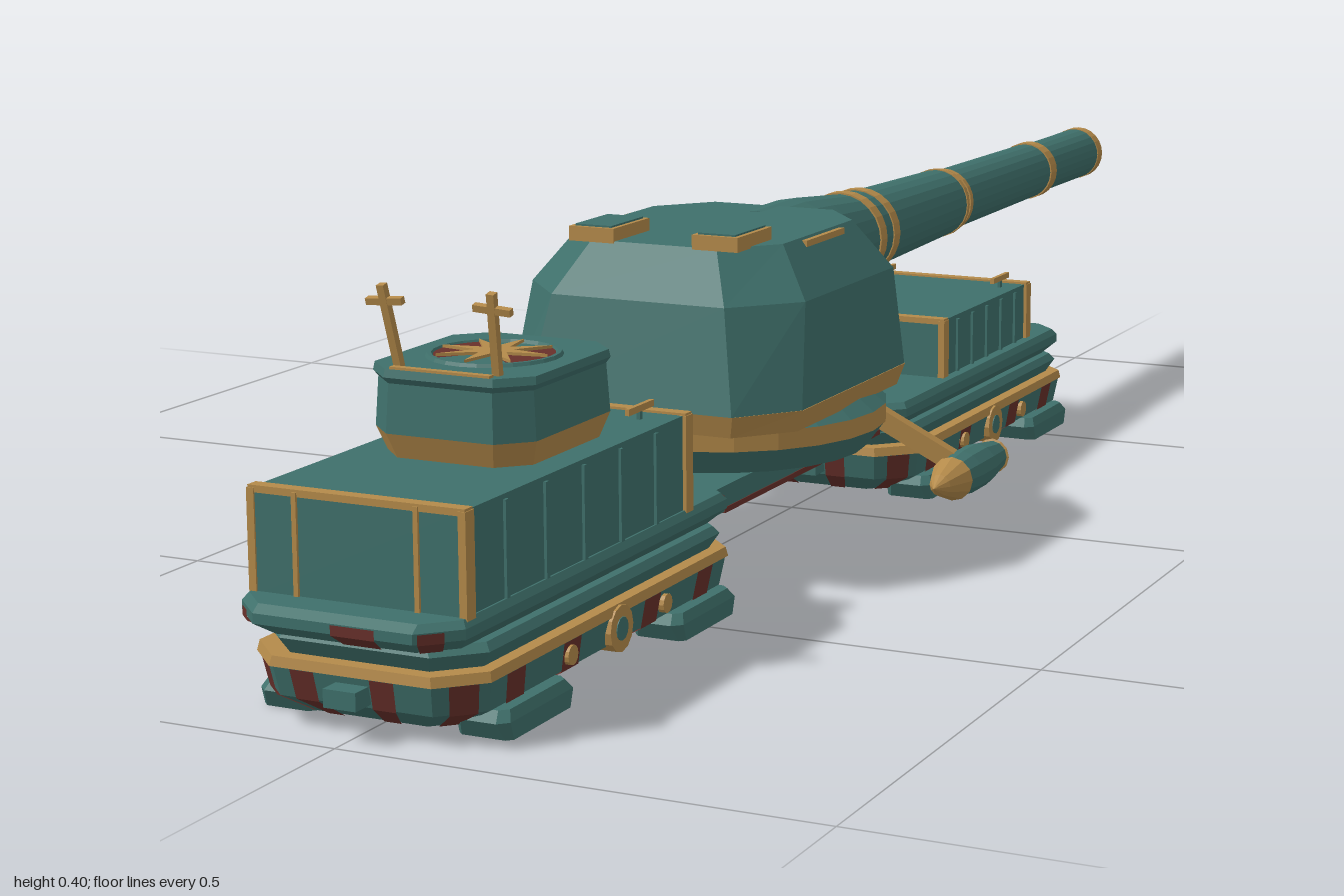
import * as THREE from 'three';

const mat = (name, color, extra = {}) => {
  const m = new THREE.MeshStandardMaterial({ color, flatShading: true, ...extra });
  m.name = name;
  return m;
};

export function createModel() {
  const root = new THREE.Group();
  root.name = 'railwayGun';
  const teal = mat('teal armour', 0x3f706b);
  const gold = mat('brass trim', 0xb48a4a);
  const red = mat('rust red', 0x68302a, { side: THREE.DoubleSide });

  const add = (name, geo, material, x = 0, y = 0, z = 0, parent = root) => {
    const m = new THREE.Mesh(geo, material);
    m.name = name;
    m.position.set(x, y, z);
    parent.add(m);
    return m;
  };
  // box given by its centre and size
  const box = (name, material, x, y, z, w, h, d, parent = root) =>
    add(name, new THREE.BoxGeometry(w, h, d), material, x, y, z, parent);

  // chamfered rectangle at height y: half width, back z, front z, chamfers in x and z
  const oct = (y, hx, zb, zf, cx, cz = cx) => [
    [hx, zf - cz], [hx, zb + cz], [hx - cx, zb], [cx - hx, zb],
    [-hx, zb + cz], [-hx, zf - cz], [cx - hx, zf], [hx - cx, zf],
  ].map(([x, z]) => [x, y, z]);

  // closed solid through rings stacked from bottom to top
  const loft = (rings) => {
    const n = rings[0].length, index = [];
    for (let r = 0; r < rings.length - 1; r++)
      for (let i = 0; i < n; i++) {
        const j = (i + 1) % n, a = r * n, b = a + n;
        index.push(a + i, a + j, b + j, a + i, b + j, b + i);
      }
    const top = (rings.length - 1) * n;
    for (let i = 1; i < n - 1; i++) index.push(top, top + i, top + i + 1, 0, i + 1, i);
    const g = new THREE.BufferGeometry();
    g.setAttribute('position', new THREE.Float32BufferAttribute(rings.flat(2), 3));
    g.setIndex(index);
    const flat = g.toNonIndexed();
    flat.computeVertexNormals();
    return flat;
  };
  // painted red patch between two rings, on one edge from fraction t0 to t1
  const mark = (name, low, high, edge, t0, t1, parent) => {
    const at = (ring, t) => {
      const a = ring[edge], b = ring[(edge + 1) % 8];
      return [(a[0] + (b[0] - a[0]) * t) * 1.012, a[1] - 0.0005, (a[2] + (b[2] - a[2]) * t) * 1.008];
    };
    const g = new THREE.BufferGeometry();
    g.setAttribute('position', new THREE.Float32BufferAttribute(
      [at(low, t0), at(low, t1), at(high, t1), at(high, t0)].flat(), 3));
    g.setIndex([0, 1, 2, 0, 2, 3]);
    g.computeVertexNormals();
    add(name, g, red, 0, 0, 0, parent);
  };
  // turned part whose axis runs towards the back (-z)
  const turned = (name, points, material, x, y, z, seg = 24) =>
    add(name, new THREE.LatheGeometry(points.map(p => new THREE.Vector2(...p)), seg)
      .rotateX(-Math.PI / 2), material, x, y, z);

  // long deck, with broader chamfered platforms over the two bogies
  box('deckBeam', teal, 0, 0.108, 0.19, 0.2, 0.028, 0.6);
  for (const s of [-1, 1]) box('deckEdgeMark', red, s * 0.098, 0.0955, 0.18, 0.006, 0.006, 0.42);
  for (const [name, zc, h] of [['frontPlatform', 0.695, 0.305], ['rearPlatform', -0.325, 0.295]]) {
    const g = new THREE.Group();
    g.name = name;
    g.position.z = zc;
    root.add(g);
    const low = oct(0.094, 0.105, 0.022 - h, h - 0.022, 0.03);
    const mid = oct(0.108, 0.12, -h, h, 0.035), high = oct(0.118, 0.12, -h, h, 0.035);
    add('platformBody', loft([low, mid, high, oct(0.125, 0.115, 0.01 - h, h - 0.01, 0.03)]), teal, 0, 0, 0, g);
    for (const [edge, t0, t1] of [[6, 0.5, 0.77], [2, 0.23, 0.5], [7, 0.1, 0.6], [5, 0.3, 0.7], [1, 0.3, 0.7], [3, 0.3, 0.7]]) {
      mark('platformMark', mid, high, edge, t0, t1, g);
      mark('platformLowerMark', low, mid, edge, t0, t1, g);
    }
  }

  // bogies with brass belt, red marks, hubs, couplings and track shoes
  for (const [label, zc] of [['front', 0.685], ['rear', -0.335]]) {
    const g = new THREE.Group();
    g.name = label + 'Bogie';
    g.position.z = zc;
    root.add(g);
    const low = oct(0.01, 0.085, -0.25, 0.25, 0.025), mid = oct(0.03, 0.12, -0.278, 0.278, 0.038);
    const high = oct(0.06, 0.125, -0.285, 0.285, 0.04);
    add('bogieHull', loft([low, mid, high]), teal, 0, 0, 0, g);
    add('bogieBelt', loft([oct(0.06, 0.127, -0.288, 0.288, 0.04), oct(0.07, 0.125, -0.286, 0.286, 0.04)]),
      gold, 0, 0, 0, g);
    add('bogieTop', loft([oct(0.07, 0.111, -0.27, 0.27, 0.036), oct(0.086, 0.121, -0.28, 0.28, 0.04),
      oct(0.094, 0.115, -0.275, 0.275, 0.04)]), teal, 0, 0, 0, g);
    const spots = [[1, 0.25, 0.75], [3, 0.25, 0.75], [5, 0.3, 0.9], [7, 0.3, 0.8]];
    for (const e of [0, 4]) for (const t of [0.06, 0.28, 0.62, 0.86]) spots.push([e, t, t + 0.07]);
    for (const e of [2, 6]) for (const t of [0.12, 0.62]) spots.push([e, t, t + 0.15]);
    for (const [edge, t0, t1] of spots) {
      mark('hullMark', mid, high, edge, t0, t1, g);
      mark('lowerHullMark', low, mid, edge, t0, t1, g);
    }
    for (const s of [-1, 1]) {
      for (const z of [-0.2, -0.07, 0.07, 0.2]) box('bellyMark', red, s * 0.05, 0.01, z, 0.012, 0.003, 0.035, g);
      for (const [z, r] of [[-0.1, 0.01], [0, 0.024], [0.1, 0.01]]) {
        const disc = (q, len) => new THREE.CylinderGeometry(q, q, len, 12).rotateZ(Math.PI / 2);
        add('hub', disc(r, 0.02), gold, s * 0.1185, 0.045, z - 0.005, g);
        if (r > 0.02) add('hubCap', disc(0.012, 0.022), teal, s * 0.1185, 0.045, z - 0.005, g);
      }
      box('coupling', teal, 0, 0.043, s * 0.288, 0.035, 0.018, 0.035, g);
      for (const z of [-0.185, 0.17])
        add('trackShoe', loft([oct(0, 0.029, -0.06, 0.06, 0.006), oct(0.018, 0.029, -0.07, 0.07, 0.01),
          oct(0.028, 0.024, -0.06, 0.06, 0.008)]), teal, s * 0.107, 0, z, g);
    }
  }

  // armoured houses with brass corner posts and ribbed sides
  const house = (name, hw, zb, zf, top, posts) => {
    const g = new THREE.Group();
    g.name = name;
    root.add(g);
    const h = top - 0.12, y = 0.12 + h / 2, len = zf - zb;
    box('houseBody', teal, 0, y, (zb + zf) / 2, hw * 2, h, len, g);
    for (const z of [zb + 0.006, zf - 0.006]) {
      box('topTrim', gold, 0, top - 0.001, z, hw * 2 + 0.006, 0.007, 0.014, g);
      for (const s of [-1, 1]) box('cornerPost', gold, s * hw, y, z, 0.008, h, 0.016, g);
    }
    for (const s of [-1, 1]) {
      for (const x of posts) box('frontPost', gold, s * x, y, zf, 0.005, h, 0.006, g);
      for (let i = 1; i < 6; i++) box('sideRib', teal, s * hw, y, zb + len * i / 6, 0.006, h - 0.01, 0.006, g);
    }
  };
  house('frontHouse', 0.113, 0.5, 0.955, 0.224, [0.065]);
  house('rearHouse', 0.102, -0.52, -0.22, 0.196, []);
  for (const [y, z] of [[0.224, 0.545], [0.196, -0.475]])
    for (const s of [-1, 1]) {
      box('roofRail', gold, s * 0.08, y + 0.012, z, 0.005, 0.007, 0.055);
      box('railFoot', teal, s * 0.08, y + 0.005, z, 0.004, 0.012, 0.006);
    }

  // observation cupola
  add('cupolaBase', loft([oct(0.224, 0.081, 0.606, 0.795, 0.028), oct(0.249, 0.089, 0.595, 0.805, 0.03)]), gold);
  add('cupolaBody', loft([oct(0.249, 0.089, 0.595, 0.805, 0.03),
    oct(0.298, 0.086, 0.598, 0.802, 0.029), oct(0.304, 0.09, 0.595, 0.806, 0.03),
    oct(0.312, 0.089, 0.597, 0.804, 0.03)]), teal);
  add('cupolaRing', new THREE.TorusGeometry(0.064, 0.004, 6, 24).rotateX(Math.PI / 2), teal, 0, 0.312, 0.697);
  for (const a of [-0.85, Math.PI - 0.85])
    add('cupolaMark', new THREE.CircleGeometry(0.06, 16, a, 1.7).rotateX(-Math.PI / 2), red, 0, 0.3135, 0.697);
  const star = new THREE.Shape();
  for (let i = 0; i < 16; i++) {
    const r = i % 2 ? 0.019 : 0.059, a = i * Math.PI / 8;
    star[i ? 'lineTo' : 'moveTo'](r * Math.cos(a), r * Math.sin(a));
  }
  add('cupolaStar', new THREE.ExtrudeGeometry(star, { depth: 0.003, bevelEnabled: false })
    .rotateX(-Math.PI / 2), gold, 0, 0.314, 0.697);
  box('cupolaFrontTrim', gold, 0, 0.312, 0.799, 0.11, 0.005, 0.008);
  for (const s of [-1, 1]) {
    const mast = new THREE.Group();
    mast.name = 'mast';
    mast.position.set(s * 0.054, 0.31, 0.785);
    mast.rotation.set(0.23, 0, -s * 0.07);
    root.add(mast);
    box('mastPole', gold, 0, 0.043, 0, 0.008, 0.088, 0.008, mast);
    box('mastBar', gold, 0, 0.07, 0, 0.04, 0.007, 0.007, mast);
  }

  // turret ring, skirt and faceted turret
  const ringPart = (name, r0, r1, y0, y1, m) =>
    add(name, new THREE.CylinderGeometry(r1, r0, y1 - y0, 24), m, 0, (y0 + y1) / 2, 0.19);
  ringPart('turretBearing', 0.165, 0.186, 0.122, 0.15, teal);
  ringPart('turretRing', 0.187, 0.187, 0.15, 0.171, gold);
  ringPart('turretCollar', 0.187, 0.17, 0.171, 0.184, teal);
  add('turretSkirt', loft([oct(0.18, 0.168, 0.02, 0.412, 0.05, 0.06), oct(0.204, 0.176, 0.01, 0.42, 0.052, 0.065)]), gold);
  add('turretShell', loft([oct(0.204, 0.175, 0.01, 0.42, 0.052, 0.065),
    oct(0.315, 0.165, 0.015, 0.395, 0.062, 0.07), oct(0.37, 0.125, 0.05, 0.355, 0.05, 0.06)]), teal);
  for (const s of [-1, 1]) {
    box('hatchFrame', gold, s * 0.074, 0.376, 0.315, 0.054, 0.016, 0.085);
    box('hatchLid', teal, s * 0.074, 0.384, 0.315, 0.044, 0.004, 0.075);
    box('roofStrip', gold, s * 0.13, 0.364, 0.2, 0.006, 0.007, 0.1);
  }

  // gun: tapered mantlet and stepped barrel with an open bore
  const axis = 0.305;
  turned('gunBarrel', [[0, -0.1], [0.066, -0.1], [0.066, 0.0], [0.062, 0.05], [0.053, 0.14], [0.051, 0.2],
    [0.049, 0.21], [0.043, 0.46], [0.04, 0.465], [0.037, 0.8], [0.035, 0.805], [0.035, 0.995],
    [0.022, 0.995], [0.022, 0.9], [0, 0.9]], teal, 0, axis, 0);
  for (const [z, r, w] of [[0.15, 0.055, 0.018], [0.195, 0.053, 0.018],
    [0.453, 0.0445, 0.007], [0.472, 0.042, 0.009], [0.79, 0.039, 0.022]])
    turned('barrelBand', [[r - 0.012, -w / 2], [r, -w / 2], [r, w / 2], [r - 0.012, w / 2]], gold, 0, axis, -z);
  turned('muzzleRing', [[0.032, 0], [0.036, 0], [0.036, 0.018], [0.023, 0.018], [0.021, 0]], gold, 0, axis, -0.982);

  // outrigger arms carrying pointed floats
  for (const s of [-1, 1]) {
    const from = new THREE.Vector3(s * 0.102, 0.122, -0.012), to = new THREE.Vector3(s * 0.2, 0.06, -0.045);
    const arm = box('outriggerArm', gold, 0, 0, 0, 0.026, 0.022, from.distanceTo(to));
    arm.position.copy(from).add(to).multiplyScalar(0.5);
    arm.lookAt(to);
    const x = s * 0.204, y = 0.055;
    turned('floatBody', [[0.021, -0.01], [0.026, 0.035], [0.026, 0.08], [0.018, 0.135]], teal, x, y, 0, 12);
    turned('floatNose', [[0, -0.055], [0.013, -0.035], [0.026, 0.002], [0.02, 0.004]], gold, x, y, 0, 12);
    turned('floatTail', [[0.014, 0.13], [0.021, 0.133], [0, 0.178]], gold, x, y, 0, 12);
  }
  return root;
}
